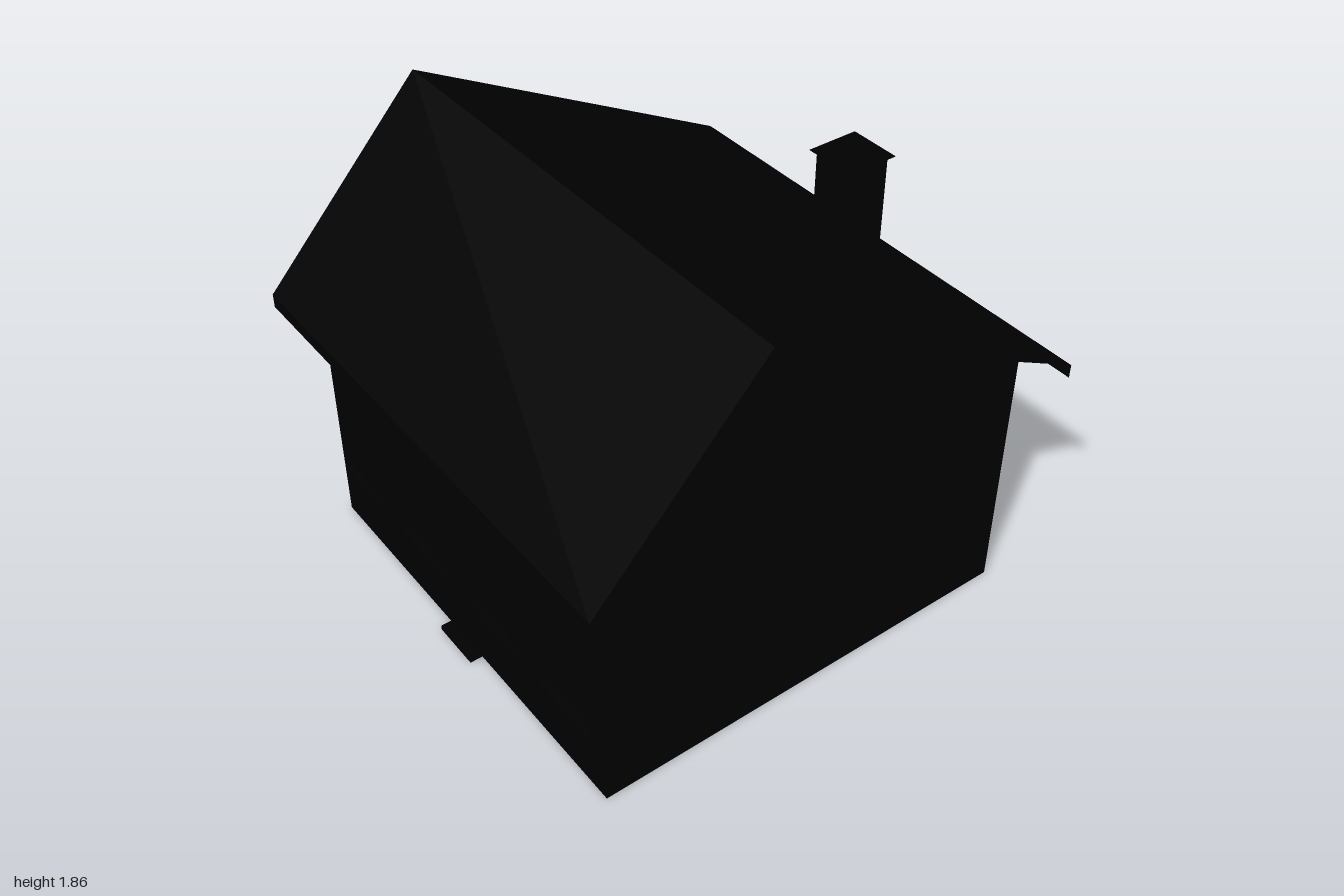
import * as THREE from 'three';

const black = new THREE.MeshStandardMaterial({ color: 0x000000, side: THREE.DoubleSide });

function addMesh(parent, name, geometry) {
  const mesh = new THREE.Mesh(geometry, black);
  mesh.name = name;
  parent.add(mesh);
  return mesh;
}

// Thin folded sheet: a [z, y] profile swept along x, open at both ends
function sheet(profile, x0, x1) {
  const pos = [];
  for (let i = 0; i < profile.length - 1; i++) {
    const [za, ya] = profile[i], [zb, yb] = profile[i + 1];
    pos.push(x0, ya, za, x0, yb, zb, x1, yb, zb);
    pos.push(x0, ya, za, x1, yb, zb, x1, ya, za);
  }
  const g = new THREE.BufferGeometry();
  g.setAttribute('position', new THREE.Float32BufferAttribute(pos, 3));
  g.computeVertexNormals();
  return g;
}

// Projecting ledge on the front (side = 1) or back (side = -1) wall
function ledge(x, width, y0, y1, depth, side) {
  const zw = 0.875 * side, ze = (0.875 + depth) * side;
  const profile = [[zw, y1], [ze, y1], [ze, y0], [zw, y0]];
  if (side < 0) profile.reverse();
  return sheet(profile, x - width / 2, x + width / 2);
}

// Flat panel lying just off the front or back wall
function panel(x, width, y0, y1, side) {
  const g = new THREE.PlaneGeometry(width, y1 - y0);
  if (side < 0) g.rotateY(Math.PI);
  return g.translate(x, (y0 + y1) / 2, 0.878 * side);
}

export function createModel() {
  const house = new THREE.Group();
  house.name = 'house';
  const W = 0.875, wallTop = 1.02, ridgeZ = 0.35;

  // Walls: open-bottomed shell with off-centre gables
  const walls = new THREE.Group();
  walls.name = 'walls';
  house.add(walls);
  addMesh(walls, 'frontWall', sheet([[W, wallTop], [W, 0]], -W, W));
  addMesh(walls, 'backWall', sheet([[-W, 0], [-W, wallTop]], -W, W));
  const gable = new THREE.Shape([
    [-W, 0], [W, 0], [W, wallTop], [ridgeZ, 1.685], [-W, wallTop],
  ].map(([z, y]) => new THREE.Vector2(z, y)));
  for (const [name, s] of [['leftGable', 1], ['rightGable', -1]]) {
    const g = new THREE.ShapeGeometry(gable).rotateY(-Math.PI / 2);
    addMesh(walls, name, g.translate(s * W, 0, 0));
  }

  // Roof: two unequal slopes with turned-down eaves
  addMesh(house, 'roof', sheet(
    [[-1, 0.965], [-1, 1.02], [ridgeZ, 1.72], [1, 1.02], [1, 0.965]], -1, 1));

  // Chimney with a flat, overhanging cap
  const chimney = new THREE.Group();
  chimney.name = 'chimney';
  chimney.position.set(0.522, 0, -0.352);
  house.add(chimney);
  addMesh(chimney, 'chimneyStack', new THREE.BoxGeometry(0.155, 0.61, 0.155).translate(0, 1.555, 0));
  addMesh(chimney, 'chimneyCap',
    new THREE.PlaneGeometry(0.19, 0.19).rotateX(-Math.PI / 2).translate(0, 1.862, 0));

  // Door with canopy and doorstep
  const door = new THREE.Group();
  door.name = 'door';
  house.add(door);
  addMesh(door, 'doorPanel', panel(0, 0.17, 0, 0.72, 1));
  addMesh(door, 'doorCanopy', ledge(0, 0.24, 0.72, 0.755, 0.03, 1));
  addMesh(door, 'doorstep', ledge(0, 0.2, 0, 0.02, 0.05, 1));

  // Windows with sills: four in front, three behind
  const rows = [
    ['frontWindow', 1, [-0.66, -0.235, 0.235, 0.66]],
    ['backWindow', -1, [-0.52, 0, 0.52]],
  ];
  for (const [name, side, xs] of rows) {
    for (const x of xs) {
      const win = new THREE.Group();
      win.name = name;
      house.add(win);
      addMesh(win, 'windowPane', panel(x, 0.24, 0.285, 0.7, side));
      addMesh(win, 'windowSill', ledge(x, 0.27, 0.26, 0.285, 0.03, side));
    }
  }
  return house;
}
